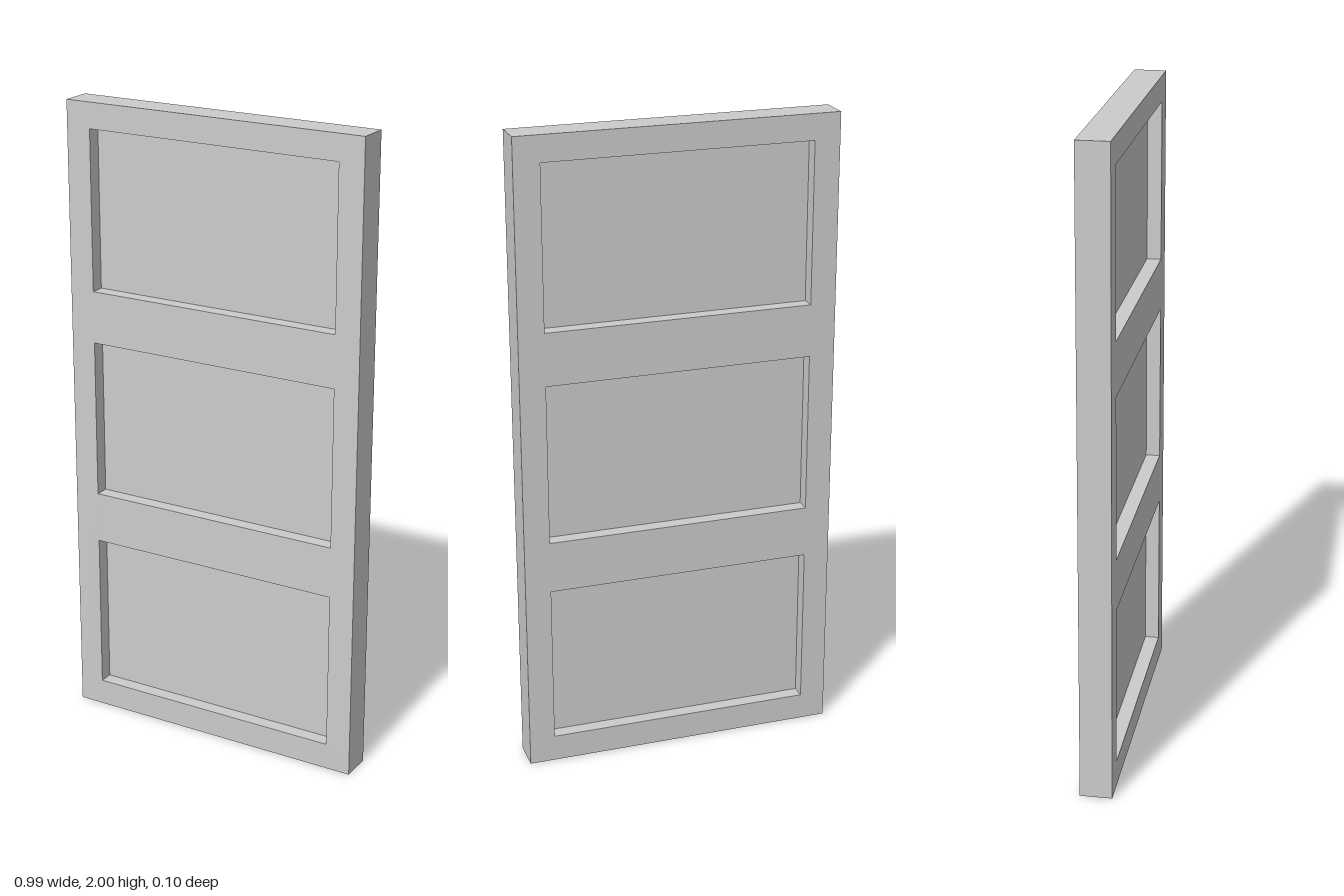
import * as THREE from 'three';

const W = 0.99, H = 2, D = 0.099;
const PANEL_W = 0.83, PANEL_H = 0.503, PANEL_T = 0.01;
const PANEL_Y = [0.335, 1.0, 1.668]; // panel centres

function rectangle(path, w, h, cy) {
  path.moveTo(-w / 2, cy - h / 2);
  path.lineTo(w / 2, cy - h / 2);
  path.lineTo(w / 2, cy + h / 2);
  path.lineTo(-w / 2, cy + h / 2);
  path.closePath();
  return path;
}

export function createModel() {
  const model = new THREE.Group();
  model.name = 'panelledDoor';
  const material = new THREE.MeshStandardMaterial({ color: 0xcccccc });

  // Frame of stiles and rails with three openings
  const outline = rectangle(new THREE.Shape(), W, H, H / 2);
  for (const y of PANEL_Y) outline.holes.push(rectangle(new THREE.Path(), PANEL_W, PANEL_H, y));
  const frameGeometry = new THREE.ExtrudeGeometry(outline, { depth: D, bevelEnabled: false });
  frameGeometry.translate(0, 0, -D / 2);
  const frame = new THREE.Mesh(frameGeometry, material);
  frame.name = 'frame';
  model.add(frame);

  // Thin panels, recessed equally on front and back
  const panelGeometry = new THREE.BoxGeometry(PANEL_W, PANEL_H, PANEL_T);
  ['lowerPanel', 'middlePanel', 'upperPanel'].forEach((name, i) => {
    const panel = new THREE.Mesh(panelGeometry, material);
    panel.name = name;
    panel.position.y = PANEL_Y[i];
    model.add(panel);
  });

  return model;
}
